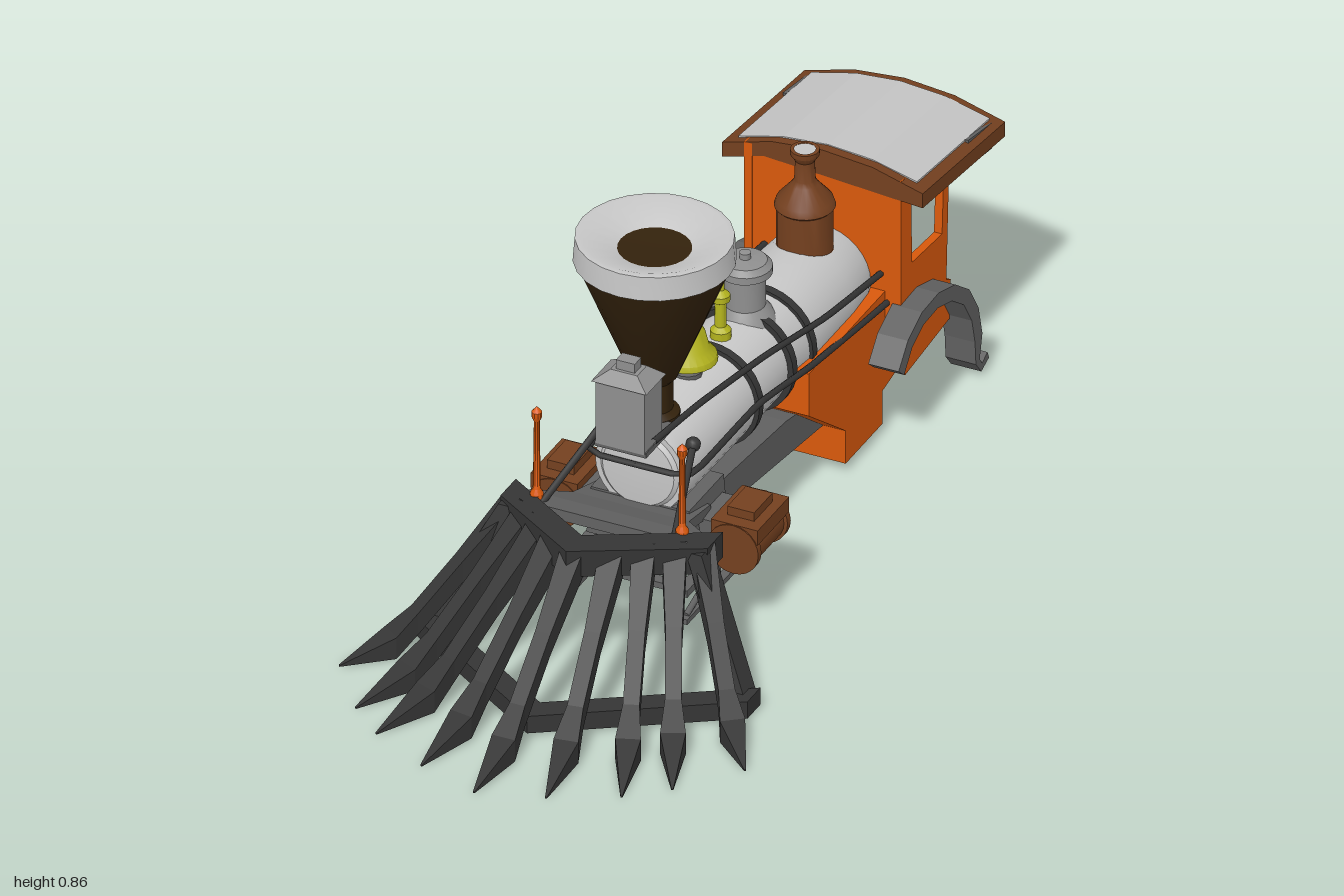
import * as THREE from 'three';
import { toCreasedNormals } from 'three/addons/utils/BufferGeometryUtils.js';

const mat = (name, color) => Object.assign(new THREE.MeshStandardMaterial({ color }), { name });

export function createModel() {
  const model = new THREE.Group();
  model.name = 'locomotive';
  const orange = mat('orange paint', 0xd9590c), brown = mat('red brown', 0x74401f);
  const stackBrown = mat('dark brown', 0x33220c), light = mat('light grey', 0xc6c6c6);
  const grey = mat('mid grey', 0x8f8f8f), iron = mat('iron grey', 0x626262);
  const black = mat('black iron', 0x353535), brass = mat('brass', 0xb4b41e);

  const add = (name, geo, material, x = 0, y = 0, z = 0) => {
    const m = new THREE.Mesh(geo, material);
    m.name = name;
    m.position.set(x, y, z);
    model.add(m);
    return m;
  };
  const box = (name, m, w, h, d, x, y, z) => add(name, new THREE.BoxGeometry(w, h, d), m, x, y, z);
  const both = (fn) => [1, -1].forEach(fn);
  // Turned part from [radius, height] pairs, bottom to top
  const turned = (pts, seg = 24) => toCreasedNormals(
    new THREE.LatheGeometry(pts.map(p => new THREE.Vector2(...p)), seg), 0.6);
  // Solid joining equal-sized rings of [x, y, z] points, faceted, turned outward
  const loft = (rings) => {
    const n = rings[0].length, tris = [];
    for (let i = 0; i < rings.length - 1; i++) for (let j = 0; j < n; j++) {
      const k = (j + 1) % n, a = rings[i], b = rings[i + 1];
      tris.push([a[j], a[k], b[k]], [a[j], b[k], b[j]]);
    }
    const s = rings[0], e = rings[rings.length - 1];
    for (let j = 1; j < n - 1; j++) tris.push([s[0], s[j + 1], s[j]], [e[0], e[j], e[j + 1]]);
    const V = (p) => new THREE.Vector3(...p);
    const vol = tris.reduce((t, [a, b, c]) => t + V(a).dot(V(b).cross(V(c))), 0);
    const g = new THREE.BufferGeometry();
    g.setAttribute('position', new THREE.Float32BufferAttribute(
      tris.flatMap(([a, b, c]) => (vol < 0 ? [a, c, b] : [a, b, c]).flat()), 3));
    g.computeVertexNormals();
    return g;
  };
  // Slab with a side outline of [z, y] points, spanning x0 to x1
  const slab = (pts, x0, x1, hole) => {
    const shape = new THREE.Shape(pts.map(([z, y]) => new THREE.Vector2(-z, y)));
    if (hole) shape.holes.push(new THREE.Path(hole.map(([z, y]) => new THREE.Vector2(-z, y))));
    return new THREE.ExtrudeGeometry(shape, { depth: x1 - x0, bevelEnabled: false })
      .rotateY(Math.PI / 2).translate(x0, 0, 0);
  };
  const rod = (name, m, a, b, r) => {
    const A = new THREE.Vector3(...a), B = new THREE.Vector3(...b), d = B.clone().sub(A);
    const o = add(name, new THREE.CylinderGeometry(r, r, d.length(), 8), m);
    o.position.copy(A).lerp(B, 0.5);
    o.quaternion.setFromUnitVectors(new THREE.Vector3(0, 1, 0), d.normalize());
  };
  const tube = (name, pts, r) => add(name, new THREE.TubeGeometry(
    new THREE.CatmullRomCurve3(pts.map(p => new THREE.Vector3(...p)), false, 'catmullrom', 0.2), 24, r, 6), black);

  // Boiler with a fatter rear, and its bands
  add('boiler', turned([[0, -0.65], [0.1, -0.65], [0.114, -0.6], [0.12, -0.52], [0.12, -0.36], [0.108, -0.26],
    [0.106, 0.2], [0.1, 0.22], [0.088, 0.22], [0.08, 0.228], [0, 0.235]], 32).rotateX(Math.PI / 2), light, 0, 0.342, 0);
  for (const [z, r] of [[-0.1, 0.117], [-0.25, 0.12], [-0.335, 0.123]])
    add('boilerBand', turned([[r - 0.015, -0.01], [r, -0.01], [r, 0.01], [r - 0.015, 0.01]], 32)
      .rotateX(Math.PI / 2), black, 0, 0.342, z);

  // Funnel stack
  add('stackPipe', turned([[0.052, 0.42], [0.052, 0.445], [0.038, 0.455], [0.038, 0.52], [0.047, 0.53], [0.16, 0.805]]),
    stackBrown, 0, 0, 0.152);
  add('stackRim', turned([[0.158, 0.8], [0.166, 0.805], [0.162, 0.858], [0.15, 0.86], [0.076, 0.83]]), light, 0, 0, 0.152);
  add('stackMouth', turned([[0.08, 0.83], [0, 0.827]]), stackBrown, 0, 0, 0.152);

  // Headlamp and bracket
  box('headlamp', grey, 0.11, 0.15, 0.08, 0, 0.515, 0.272);
  add('headlampRoof', loft([[[-0.062, 0.588, 0.226], [0.062, 0.588, 0.226], [0.062, 0.588, 0.318], [-0.062, 0.588, 0.318]],
    [[-0.03, 0.612, 0.25], [0.03, 0.612, 0.25], [0.03, 0.612, 0.294], [-0.03, 0.612, 0.294]]]), grey);
  box('headlampVent', grey, 0.042, 0.026, 0.03, 0, 0.62, 0.272);
  box('headlampShelf', iron, 0.115, 0.012, 0.13, 0, 0.438, 0.245);

  // Bell, whistle, sand dome and steam dome
  add('bellStand', turned([[0.03, 0.43], [0.03, 0.455], [0.012, 0.46], [0.012, 0.49]], 12), iron);
  add('bell', turned([[0, 0.486], [0.062, 0.482], [0.06, 0.495], [0.044, 0.512], [0.036, 0.545], [0.026, 0.562],
    [0.008, 0.568], [0.008, 0.582], [0, 0.584]]), brass);
  add('whistle', turned([[0.022, 0.43], [0.022, 0.465], [0.012, 0.475], [0.012, 0.53], [0.02, 0.535], [0.02, 0.548],
    [0.008, 0.56], [0.008, 0.62], [0.017, 0.625], [0.017, 0.68], [0, 0.682]], 12), brass, 0, 0, -0.152);
  add('sandDome', turned([[0.065, 0.43], [0.055, 0.45], [0.042, 0.465], [0.042, 0.535], [0.056, 0.54], [0.056, 0.556],
    [0.045, 0.568], [0.012, 0.572], [0.012, 0.585], [0, 0.587]]), grey, 0, 0, -0.265);
  add('steamDome', turned([[0.078, 0.41], [0.072, 0.432], [0.058, 0.445], [0.058, 0.54], [0.063, 0.545], [0.058, 0.56],
    [0.028, 0.595], [0.022, 0.605], [0.02, 0.65], [0.03, 0.665], [0.03, 0.676], [0.022, 0.676]]), brown, 0, 0, -0.54);
  add('steamDomeTop', turned([[0.024, 0.674], [0, 0.674]], 16), light, 0, 0, -0.54);

  // Handrails, one wrapping round the smokebox front
  both((s) => {
    tube('upperHandrail', [[s * 0.06, 0.456, 0.28], [s * 0.075, 0.45, 0.1], [s * 0.1, 0.43, -0.15],
      [s * 0.125, 0.4, -0.38], [s * 0.13, 0.368, -0.63]], 0.007);
    tube('lowerHandrail', [[0, 0.362, 0.238], [s * 0.1, 0.362, 0.236], [s * 0.12, 0.362, 0.2], [s * 0.12, 0.36, -0.08],
      [s * 0.135, 0.335, -0.3], [s * 0.145, 0.305, -0.62]], 0.007);
  });

  // Firebox and cab floor
  add('firebox', slab([[-0.27, 0.33], [-0.27, 0.23], [-0.44, 0.1], [-0.44, 0.022], [-0.61, 0.022], [-0.61, 0.1],
    [-0.85, 0.145], [-0.85, 0.18], [-0.64, 0.18], [-0.64, 0.33]], -0.14, 0.14), orange);
  both((s) => {
    // Cab side with window, and the bench inside it
    add('cabSide', slab([[-0.62, 0.6], [-0.62, 0.2], [-0.64, 0.13], [-0.845, 0.15], [-0.85, 0.24], [-0.83, 0.25],
      [-0.845, 0.57]], s * 0.167 - 0.009, s * 0.167 + 0.009,
    [[-0.668, 0.53], [-0.672, 0.38], [-0.81, 0.37], [-0.818, 0.52]]), orange);
    box('cabBench', orange, 0.07, 0.09, 0.22, s * 0.135, 0.19, -0.745);
    // Side curtain under the roof overhang
    add('roofCurtain', slab([[-0.865, 0.57], [-0.868, 0.505], [-0.975, 0.49], [-0.98, 0.55]],
      s * 0.204 - 0.004, s * 0.204 + 0.004), iron);
    // Curved rear fender ending in a foot
    const arc = [[-0.52, 0.215], [-0.56, 0.262], [-0.62, 0.29], [-0.69, 0.293], [-0.76, 0.272], [-0.82, 0.228],
      [-0.86, 0.165], [-0.876, 0.1], [-0.872, 0.045], [-0.89, 0.022], [-0.92, 0.035]];
    add('fender', loft(arc.map(([z, y], i) => {
      const p = arc[Math.max(i - 1, 0)], q = arc[Math.min(i + 1, arc.length - 1)];
      const l = Math.hypot(q[0] - p[0], q[1] - p[1]), t = i > 7 ? 0.009 : 0.017;
      const dz = -(q[1] - p[1]) / l * t, dy = (q[0] - p[0]) / l * t;
      return [[s * 0.158, y + dy, z + dz], [s * 0.226, y + dy, z + dz], [s * 0.226, y - dy, z - dz], [s * 0.158, y - dy, z - dz]];
    })), iron);
  });
  const wall = new THREE.Shape([[-0.175, 0.2], [0.175, 0.2], [0.175, 0.58], [0.09, 0.6], [-0.09, 0.6], [-0.175, 0.58]]
    .map(p => new THREE.Vector2(...p)));
  add('cabFront', new THREE.ExtrudeGeometry(wall, { depth: 0.018, bevelEnabled: false }), orange, 0, 0, -0.64);

  // Backhead with valve wheels
  add('backhead', new THREE.CylinderGeometry(0.1, 0.1, 0.03, 24).rotateX(Math.PI / 2), iron, 0, 0.34, -0.65);
  for (const [x, y, r] of [[0, 0.4, 0.045], [-0.05, 0.31, 0.03], [0.05, 0.31, 0.03]]) {
    add('valveWheel', new THREE.TorusGeometry(r, 0.006, 6, 16), light, x, y, -0.69);
    for (const a of [0, Math.PI / 2]) box('valveSpoke', light, 2 * r, 0.006, 0.006, x, y, -0.69).rotation.z = a;
  }

  // Arched roof sloping to the rear: frame, top panel, lining
  const arch = (w, z, lift, thick) => {
    const top = [-1, -0.5, 0, 0.5, 1].map(u => {
      const x = u * w;
      return [x, 0.628 - 0.85 * x * x + lift + (z + 0.62) * 0.11, z];
    });
    return [...top, ...top.slice().reverse().map(([x, y, zz]) => [x, y - thick, zz])];
  };
  add('roofFrame', loft([arch(0.225, -0.62, 0, 0.034), arch(0.225, -1, 0, 0.034)]), brown);
  add('roofPanel', loft([arch(0.2, -0.645, 0.002, 0.008), arch(0.2, -0.98, 0.002, 0.008)]), light);
  add('roofLining', loft([arch(0.205, -0.64, -0.029, 0.008), arch(0.205, -0.98, -0.029, 0.008)]), iron);

  // Underframe, saddle and sloping front deck
  add('underframe', slab([[0.08, 0.235], [-0.27, 0.205], [-0.44, 0.17], [-0.44, 0.1], [0.08, 0.165]], -0.09, 0.09), iron);
  add('saddle', loft([[-0.12, 0.16], [-0.11, 0.27]].map(([x, y]) =>
    [[x, y, 0.06], [-x, y, 0.06], [-x, y, 0.22], [x, y, 0.22]])), iron);
  add('frontDeck', loft([[0.12, 0.245, 0.14], [0.13, 0.275, 0.26], [0.2, 0.3, 0.33], [0.2, 0.31, 0.385]].map(([x, y, z]) =>
    [[-x, y, z], [x, y, z], [x, y - 0.025, z], [-x, y - 0.025, z]])), iron);

  both((s) => {
    // Steam cylinder and valve chest
    add('cylinder', turned([[0, -0.075], [0.057, -0.075], [0.057, -0.06], [0.05, -0.058], [0.05, 0.058], [0.057, 0.06],
      [0.057, 0.075], [0, 0.075]]).rotateX(Math.PI / 2), brown, s * 0.2, 0.195, 0.128);
    box('valveChest', brown, 0.105, 0.035, 0.145, s * 0.202, 0.235, 0.128);
    box('valveChestLid', brown, 0.06, 0.025, 0.085, s * 0.202, 0.26, 0.128);
    box('cylinderMount', iron, 0.07, 0.07, 0.11, s * 0.13, 0.2, 0.128);
    // Marker post and smokebox brace
    add('markerPost', turned([[0.014, 0.3], [0.014, 0.32], [0.008, 0.33], [0.006, 0.49], [0.011, 0.5], [0.011, 0.512],
      [0, 0.525]], 10), orange, s * 0.163, 0, 0.36);
    rod('smokeboxBrace', black, [s * 0.15, 0.3, 0.37], [s * 0.1, 0.405, 0.18], 0.008);
    add('braceEnd', new THREE.SphereGeometry(0.016, 10, 8), black, s * 0.1, 0.405, 0.18);
    // Leading truck side frame
    box('truckTopBar', iron, 0.025, 0.016, 0.32, s * 0.13, 0.124, 0.135);
    box('truckLowerBar', iron, 0.02, 0.012, 0.31, s * 0.13, 0.054, 0.135);
    both((e) => rod('truckBrace', iron, [s * 0.13, 0.06, 0.135 + e * 0.14], [s * 0.13, 0.1, 0.135], 0.007));
    rod('truckPost', iron, [s * 0.13, 0.05, 0.135], [s * 0.13, 0.12, 0.135], 0.01);
  });
  for (const z of [0, 0.09, 0.18, 0.27]) box('truckCrossBar', iron, 0.26, 0.014, 0.025, 0, 0.12, z);
  box('truckBolster', iron, 0.24, 0.06, 0.06, 0, 0.14, 0.135);

  // Pilot: tapering bars fanned along a V, each [topX, topY, topZ, tipX, tipZ]
  const bars = [[0, 0.33, 0.53, 0, 0.985], [0.065, 0.325, 0.48, 0.14, 0.94], [0.115, 0.32, 0.44, 0.275, 0.87],
    [0.165, 0.315, 0.4, 0.355, 0.8], [0.215, 0.305, 0.37, 0.455, 0.67]];
  const pilotBar = (s, [tx, ty, tz, x, z]) => {
    const l = Math.hypot(x - tx, z - tz), nx = (z - tz) / l, nz = -(x - tx) / l;
    return loft([[0, 1, 0.025, 0.06], [0.3, 0.62, 0.017, 0.05], [0.56, 0.3, 0.017, 0.05], [0.7, 0.17, 0.026, 0.05],
      [1, 0.012, 0.002, 0.003]].map(([t, h, w, d]) => {
      const cx = tx + (x - tx) * t, cz = tz + (z - tz) * t, y = ty * h;
      const lo = Math.max(y - d, 0);
      return [[s * (cx - nx * w), y, cz - nz * w], [s * (cx + nx * w), y, cz + nz * w],
        [s * (cx + nx * w), lo, cz + nz * w], [s * (cx - nx * w), lo, cz - nz * w]];
    }));
  };
  bars.forEach((b, i) => (i ? both : (f) => f(1))(s => add('pilotBar', pilotBar(s, b), black)));
  const rail = (y0, y1, h, d, ax, az, bx, bz, s) => loft([[ax, y0, az], [bx, y1, bz]].map(([x, y, z]) =>
    [[s * x, y, z], [s * x, y, z - d], [s * x, y - h, z - d], [s * x, y - h, z]]));
  both((s) => {
    add('pilotTopRail', rail(0.336, 0.308, 0.06, 0.07, 0, 0.56, 0.232, 0.385, s), black);
    add('pilotBottomRail', rail(0.045, 0.045, 0.04, 0.06, 0, 0.74, 0.375, 0.495, s), black);
    add('pilotRearPost', loft([[0.21, 0.3, 0.355], [0.355, 0.01, 0.435]].map(([x, y, z]) =>
      [[s * (x - 0.018), y, z], [s * (x + 0.018), y, z], [s * (x + 0.018), y, z + 0.05], [s * (x - 0.018), y, z + 0.05]])), black);
  });
  return model;
}
